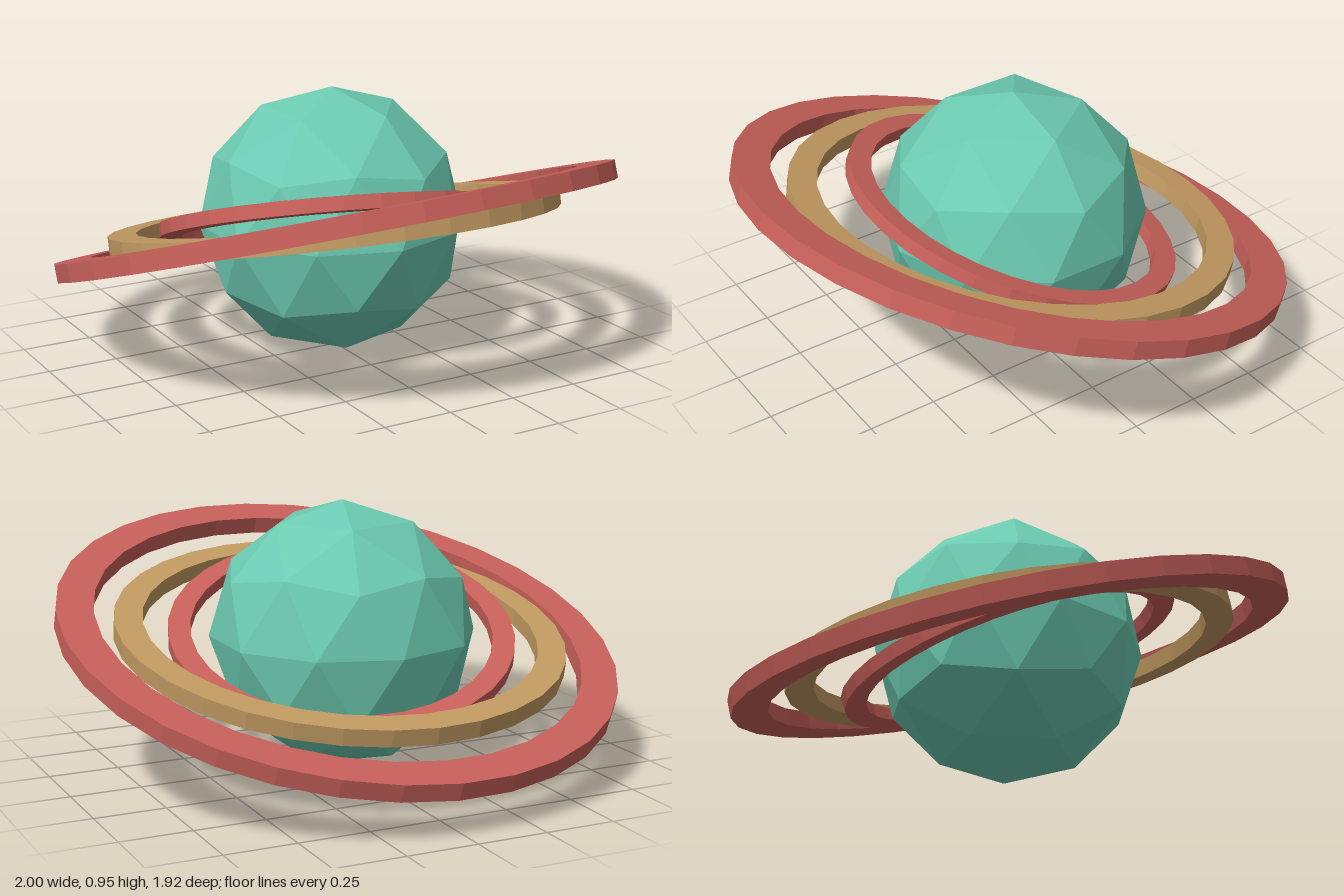
import * as THREE from 'three';

const deg = THREE.MathUtils.degToRad;

// Flat ring with a rectangular section and faceted sides
function ringGeometry(inner, outer, thickness) {
  const h = thickness / 2;
  const profile = [
    [inner, -h], [outer, -h], [outer, h], [inner, h], [inner, -h],
  ].map(([r, y]) => new THREE.Vector2(r, y));
  const g = new THREE.LatheGeometry(profile, 32).toNonIndexed();
  g.computeVertexNormals();
  return g;
}

export function createModel() {
  const group = new THREE.Group();
  group.name = 'ringedPlanet';

  const material = (name, color) => {
    const m = new THREE.MeshStandardMaterial({ color });
    m.name = name;
    return m;
  };
  const teal = material('teal', 0x6ccab1);
  const red = material('red', 0xc8605a);
  const gold = material('gold', 0xc29a62);

  // Faceted globe, turned so one corner is the pole and its neighbour faces +x
  const globe = new THREE.IcosahedronGeometry(0.473, 1);
  globe.rotateX(-Math.atan((1 + Math.sqrt(5)) / 2));
  globe.rotateY(Math.PI / 2);
  globe.computeVertexNormals();
  const planet = new THREE.Mesh(globe, teal);
  planet.name = 'planet';
  planet.position.set(-0.008, 0.473, -0.012);
  group.add(planet);

  // Three rings, each with its own tilt: raised at the front, rolled sideways
  const rings = [
    { name: 'outerRing', mat: red, inner: 0.87, outer: 1.0, thick: 0.064, pitch: 17.9, roll: 2, pos: [0, 0.465, 0] },
    { name: 'middleRing', mat: gold, inner: 0.7, outer: 0.8, thick: 0.06, pitch: 12.8, roll: 0, pos: [-0.003, 0.471, -0.005] },
    { name: 'innerRing', mat: red, inner: 0.535, outer: 0.614, thick: 0.048, pitch: 20, roll: -6, pos: [-0.006, 0.47, -0.01] },
  ];
  for (const r of rings) {
    const geometry = ringGeometry(r.inner, r.outer, r.thick);
    geometry.rotateY(deg(-2));
    const ring = new THREE.Mesh(geometry, r.mat);
    ring.name = r.name;
    ring.rotation.set(deg(-r.pitch), 0, deg(r.roll));
    ring.position.set(...r.pos);
    group.add(ring);
  }

  return group;
}
